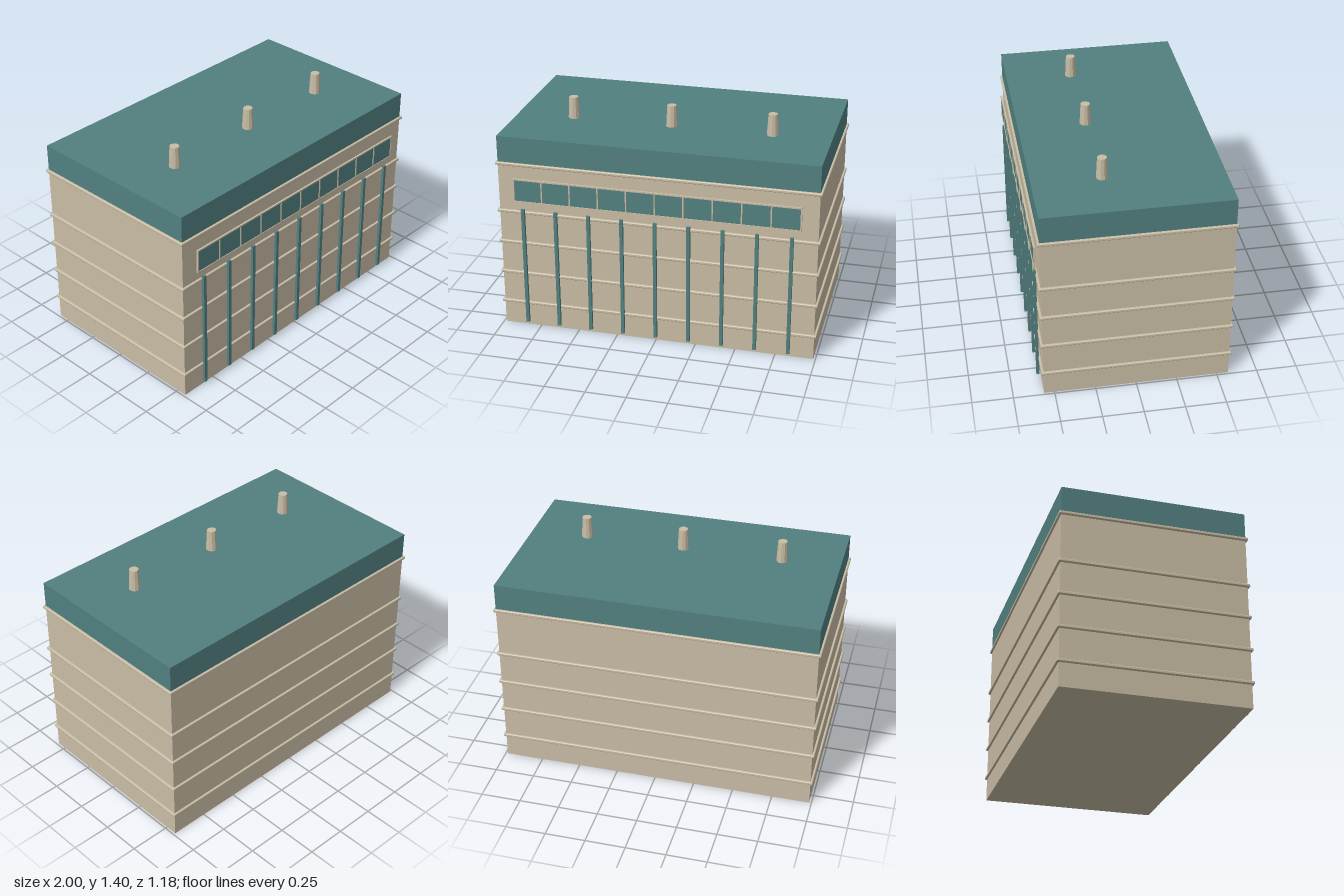
import * as THREE from 'three';
import { RoundedBoxGeometry } from 'three/addons/geometries/RoundedBoxGeometry.js';

export function createModel() {
  const model = new THREE.Group();
  model.name = 'building';
  const beige = new THREE.MeshStandardMaterial({ color: 0xc9bda5 });
  beige.name = 'beige concrete';
  const teal = new THREE.MeshStandardMaterial({ color: 0x528080 });
  teal.name = 'teal panel';

  const centreZ = -0.005;
  const add = (name, geometry, material, x, y, z) => {
    const mesh = new THREE.Mesh(geometry, material);
    mesh.name = name;
    mesh.position.set(x, y, z);
    model.add(mesh);
    return mesh;
  };

  // Main block and the solid roof storey
  add('walls', new THREE.BoxGeometry(1.972, 1.105, 1.136), beige, 0, 0.5525, centreZ);
  add('roofStorey', new THREE.BoxGeometry(1.972, 0.165, 1.136), teal, 0, 1.1875, centreZ);

  // Softly rounded ledges wrapping every floor
  const ledge = new RoundedBoxGeometry(2, 0.02, 1.162, 2, 0.006);
  for (const y of [0.157, 0.365, 0.574, 0.782, 1.095]) add('floorLedge', ledge, beige, 0, y, centreZ);

  // Vertical fins across the front
  const fin = new THREE.BoxGeometry(0.021, 0.78, 0.018);
  for (let i = -4; i <= 4; i++) add('frontFin', fin, teal, i * 0.208, 0.418, 0.581);

  // Window strip: one frame with ten openings, and a pane in each
  const paneCount = 10, pitch = 0.1765, paneW = 0.168, paneH = 0.136, stripY = 0.932;
  const rect = (path, x, y, w, h) => {
    path.moveTo(x - w / 2, y - h / 2);
    path.lineTo(x + w / 2, y - h / 2);
    path.lineTo(x + w / 2, y + h / 2);
    path.lineTo(x - w / 2, y + h / 2);
    path.closePath();
    return path;
  };
  const frame = rect(new THREE.Shape(), 0, 0, 1.774, 0.155);
  const pane = new THREE.BoxGeometry(paneW, paneH, 0.006);
  for (let i = 0; i < paneCount; i++) {
    const x = (i - (paneCount - 1) / 2) * pitch;
    frame.holes.push(rect(new THREE.Path(), x, 0, paneW, paneH));
    add('windowPane', pane, teal, x, stripY, 0.581);
  }
  const frameGeometry = new THREE.ExtrudeGeometry(frame, { depth: 0.011, bevelEnabled: false });
  add('windowFrame', frameGeometry, beige, 0, stripY, 0.577);

  // Tapered, faceted roof stacks
  const stack = new THREE.CylinderGeometry(0.029, 0.036, 0.135, 10).toNonIndexed();
  stack.computeVertexNormals();
  for (const x of [-0.625, 0, 0.625]) add('roofStack', stack, beige, x, 1.3375, 0.147);

  return model;
}
